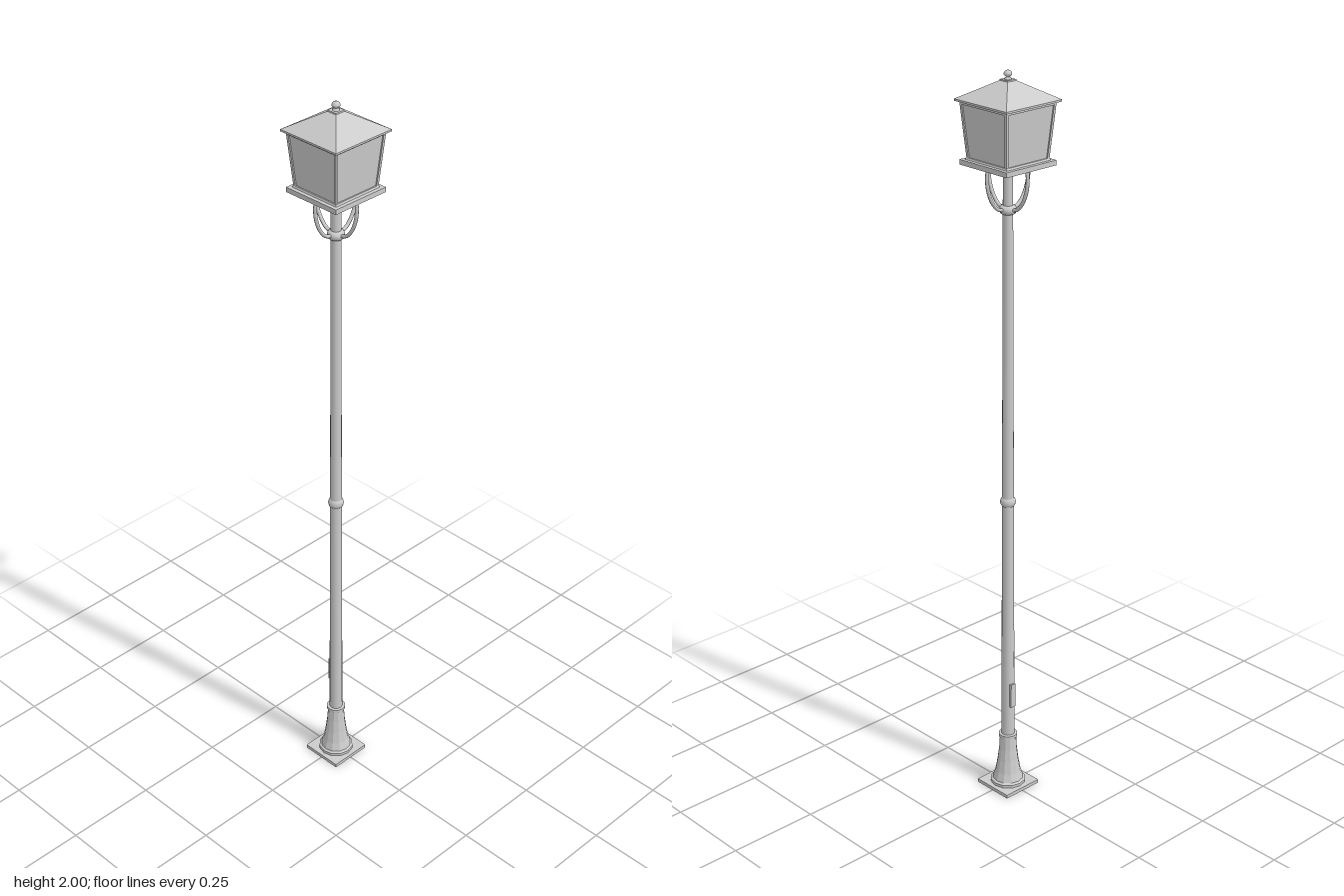
import * as THREE from 'three';

const smooth = new THREE.MeshStandardMaterial({ color: 0xcccccc });
const flat = new THREE.MeshStandardMaterial({ color: 0xcccccc, flatShading: true });

export function createModel() {
  const lamp = new THREE.Group();
  lamp.name = 'streetLamp';

  function add(name, geometry, y = 0, material = flat) {
    const mesh = new THREE.Mesh(geometry, material);
    mesh.name = name;
    mesh.position.y = y;
    lamp.add(mesh);
    return mesh;
  }

  // Turned part from [radius, height] pairs
  function turned(name, profile, sides, material) {
    const points = profile.map(([r, y]) => new THREE.Vector2(r, y));
    return add(name, new THREE.LatheGeometry(points, sides), 0, material);
  }

  // Square frustum given by half-widths at its bottom and top
  function frustum(name, low, high, y0, y1) {
    const g = new THREE.CylinderGeometry(high * Math.SQRT2, low * Math.SQRT2, y1 - y0, 4);
    g.rotateY(Math.PI / 4);
    return add(name, g, (y0 + y1) / 2);
  }

  // Foot: square plate and flared pedestal
  add('basePlate', new THREE.BoxGeometry(0.118, 0.01, 0.118), 0.005);
  turned('pedestal', [
    [0, 0.01], [0.048, 0.01], [0.048, 0.018], [0.042, 0.022], [0.035, 0.045],
    [0.029, 0.08], [0.025, 0.115], [0.023, 0.15], [0.026, 0.152], [0.026, 0.161], [0, 0.163],
  ], 12, flat);

  // Slightly tapered pole with its collars
  add('pole', new THREE.CylinderGeometry(0.0125, 0.018, 1.61, 16), 0.965, smooth);
  turned('middleCollar', [
    [0.015, 0.848], [0.019, 0.852], [0.021, 0.86], [0.019, 0.868], [0.015, 0.872],
  ], 16, smooth);
  turned('upperCollar', [
    [0.012, 1.64], [0.019, 1.643], [0.022, 1.65], [0.022, 1.656], [0.018, 1.662], [0.012, 1.664],
  ], 16, smooth);

  // Service hatch on the back of the pole
  const hatch = add('serviceHatch', new THREE.BoxGeometry(0.016, 0.07, 0.008), 0.285);
  hatch.position.z = -0.0175;

  // Four curved arms under the lantern
  const armCurve = new THREE.CatmullRomCurve3([
    [0.015, 1.652], [0.036, 1.66], [0.055, 1.683], [0.067, 1.715], [0.07, 1.745], [0.067, 1.768],
  ].map(([x, y]) => new THREE.Vector3(x, y, 0)));
  const armGeometry = new THREE.TubeGeometry(armCurve, 20, 0.0048, 8);
  for (let i = 0; i < 4; i++) {
    add('supportArm', armGeometry, 0, smooth).rotation.y = i * Math.PI / 2;
  }

  // Lantern: tray, glass and corner bars
  add('lanternTray', new THREE.BoxGeometry(0.168, 0.013, 0.168), 1.7715);
  frustum('lanternSill', 0.074, 0.072, 1.778, 1.783);
  frustum('glass', 0.068, 0.08, 1.78, 1.925);
  const up = new THREE.Vector3(0, 1, 0);
  for (const sx of [-1, 1]) {
    for (const sz of [-1, 1]) {
      const a = new THREE.Vector3(sx * 0.068, 1.78, sz * 0.068);
      const b = new THREE.Vector3(sx * 0.08, 1.925, sz * 0.08);
      const bar = add('cornerBar', new THREE.BoxGeometry(0.007, a.distanceTo(b), 0.007));
      bar.position.copy(a).lerp(b, 0.5);
      bar.quaternion.setFromUnitVectors(up, b.sub(a).normalize());
    }
  }
  frustum('topRail', 0.082, 0.083, 1.915, 1.925);

  // Hipped roof with a small square cap and finial
  add('eave', new THREE.BoxGeometry(0.185, 0.005, 0.185), 1.9255);
  frustum('roof', 0.0925, 0.014, 1.928, 1.974);
  frustum('roofCap', 0.015, 0.014, 1.971, 1.977);
  turned('finial', [
    [0.009, 1.976], [0.009, 1.979], [0.005, 1.982], [0.006, 1.984], [0.0105, 1.988],
    [0.0105, 1.992], [0.007, 1.997], [0, 2],
  ], 12, smooth);

  return lamp;
}
